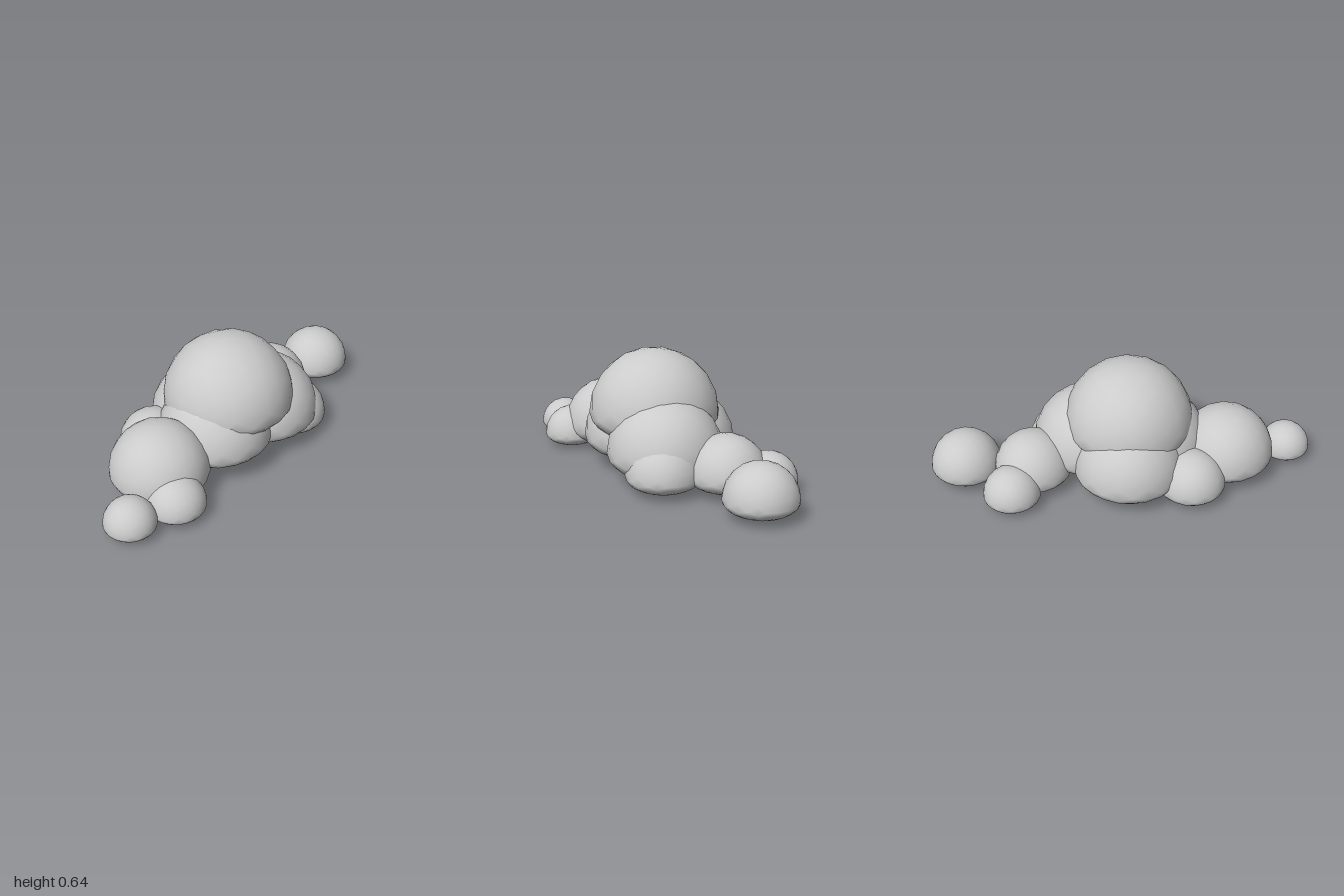
import * as THREE from 'three';
import { mergeVertices } from 'three/addons/utils/BufferGeometryUtils.js';

// Unit puff: round dome above, squashed belly below
function puffGeometry() {
  let geo = new THREE.IcosahedronGeometry(1, 3);
  geo.deleteAttribute('uv');
  geo.deleteAttribute('normal');
  geo = mergeVertices(geo, 1e-3);
  const pos = geo.attributes.position;
  for (let i = 0; i < pos.count; i++) {
    const y = pos.getY(i);
    if (y < 0) pos.setY(i, y * 0.43);
  }
  geo.computeVertexNormals();
  return geo;
}

export function createModel() {
  const cloud = new THREE.Group();
  cloud.name = 'cloud';
  const material = new THREE.MeshStandardMaterial({ color: 0xcccccc });
  const geometry = puffGeometry();

  // name, x, y of the widest ring, z, radius
  const puffs = [
    ['topPuff', -0.03, 0.31, 0.037, 0.332],
    ['middleRightPuff', -0.15, 0.165, 0.045, 0.29],
    ['middleLeftPuff', 0.17, 0.157, 0.105, 0.292],
    ['middleBackPuff', -0.02, 0.135, -0.115, 0.285],
    ['frontLeftPuff', 0.295, 0.092, 0.2, 0.19],
    ['innerLeftPuff', 0.47, 0.1, -0.05, 0.2],
    ['backLeftPuff', 0.58, 0.065, -0.22, 0.147],
    ['outerLeftPuff', 0.818, 0.09, 0.02, 0.182],
    ['innerRightPuff', -0.53, 0.125, -0.01, 0.25],
    ['backRightPuff', -0.33, 0.085, -0.215, 0.175],
    ['frontRightPuff', -0.635, 0.07, 0.175, 0.15],
    ['outerRightPuff', -0.87, 0.066, 0.09, 0.13],
  ];
  for (const [name, x, y, z, radius] of puffs) {
    const puff = new THREE.Mesh(geometry, material);
    puff.name = name;
    puff.position.set(x, y, z);
    puff.scale.setScalar(radius);
    cloud.add(puff);
  }
  return cloud;
}
